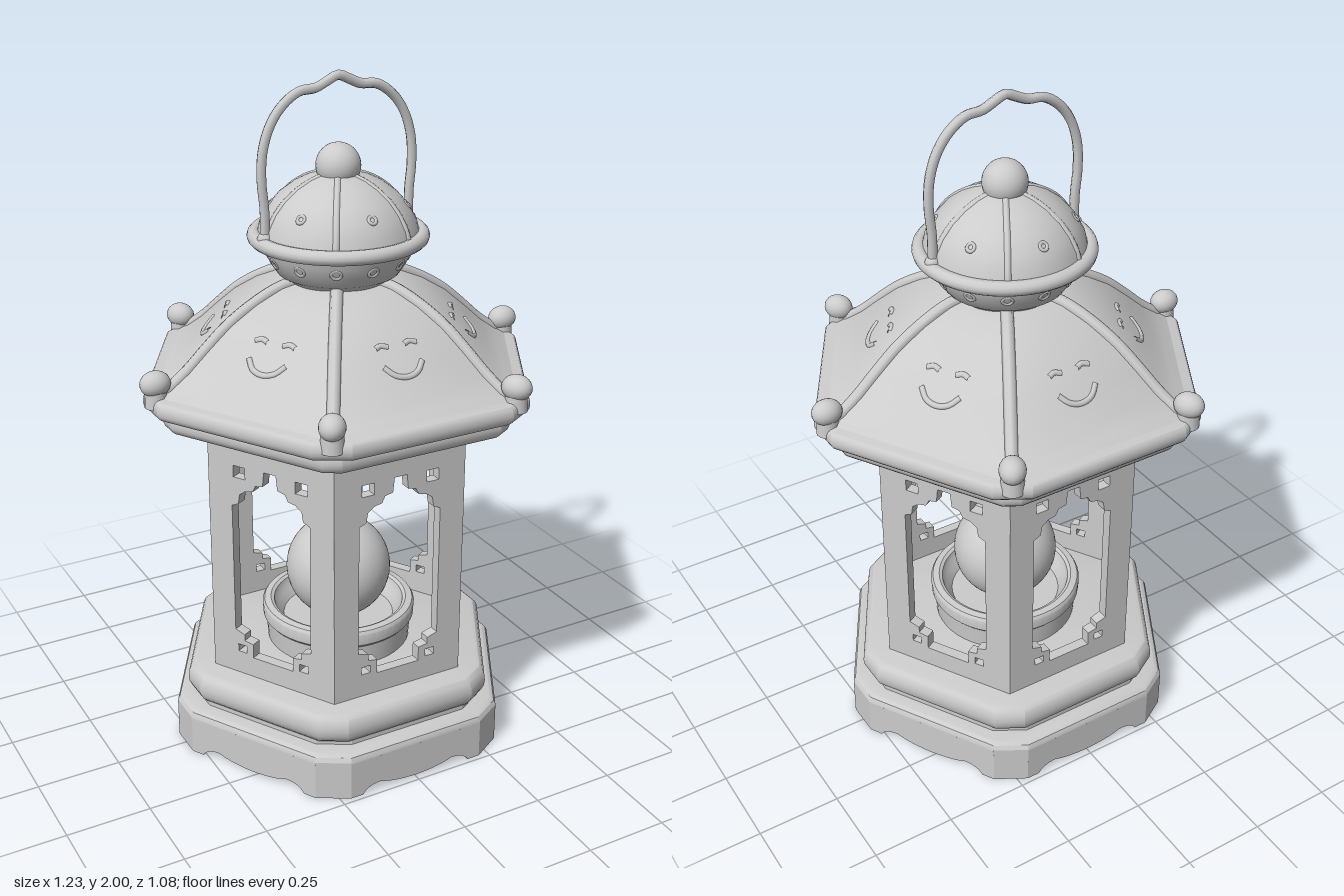
import * as THREE from 'three';
import { toCreasedNormals } from 'three/addons/utils/BufferGeometryUtils.js';

const COS30 = Math.cos(Math.PI / 6);
const mat = new THREE.MeshStandardMaterial({ color: 0xcccccc, side: THREE.DoubleSide });

function add(parent, name, geometry, x = 0, y = 0, z = 0) {
  const mesh = new THREE.Mesh(geometry, mat);
  mesh.name = name;
  mesh.position.set(x, y, z);
  parent.add(mesh);
  return mesh;
}

// Solid of stacked hexagons with clipped corners; profile is [corner radius, height], bottom to top
function hexLoft(profile, clip) {
  const pos = [], idx = [], n = 12;
  for (const [r, y] of profile) {
    const c = Math.min(clip, r * 0.1), t = c * Math.tan(Math.PI / 3);
    for (let k = 0; k < 6; k++) {
      const a = k * Math.PI / 3, ca = Math.cos(a), sa = Math.sin(a);
      for (const s of [-t, t]) pos.push((r - c) * ca - s * sa, y, (r - c) * sa + s * ca);
    }
  }
  for (let j = 0; j < profile.length - 1; j++) {
    for (let i = 0; i < n; i++) {
      const a = j * n + i, b = j * n + (i + 1) % n;
      idx.push(a, a + n, b, b, a + n, b + n);
    }
  }
  const g = new THREE.BufferGeometry();
  g.setAttribute('position', new THREE.Float32BufferAttribute(pos, 3));
  g.setIndex(idx);
  return toCreasedNormals(g, 0.45);
}

// Rounded band: points of a bulging edge between two heights
function bulge(r, y0, y1) {
  const h = (y1 - y0) / 2, pts = [];
  for (let i = 0; i <= 8; i++) {
    const a = -Math.PI / 2 + i * Math.PI / 8;
    pts.push([r - h * 0.7 * (1 - Math.cos(a)), (y0 + y1) / 2 + h * Math.sin(a)]);
  }
  return pts;
}

const lathe = pts =>
  toCreasedNormals(new THREE.LatheGeometry(pts.map(p => new THREE.Vector2(...p)), 48), 0.6);

const tube = (pts, r, seg = 24) =>
  new THREE.TubeGeometry(new THREE.CatmullRomCurve3(pts.map(p => new THREE.Vector3(...p))), seg, r, 8);

// Group turned so that its +z points along face k
function faceGroup(parent, name, k, offset = 0) {
  const g = new THREE.Group();
  g.name = name;
  g.rotation.y = k * Math.PI / 3 + offset;
  parent.add(g);
  return g;
}

// Polygon from its right half, mirrored over x = 0
const mirrored = half => [...half, ...half.slice().reverse().map(([x, y]) => [-x, y])]
  .map(p => new THREE.Vector2(...p));

const rectPath = (x, y, w, h) => new THREE.Path([
  [x - w, y - h], [x - w, y + h], [x + w, y + h], [x + w, y - h]].map(p => new THREE.Vector2(...p)));

// Plate standing on a hexagon face, with its outer surface at the given distance
function plate(parent, name, shape, distance, depth) {
  const g = new THREE.ExtrudeGeometry(shape, { depth, bevelEnabled: false, curveSegments: 8 });
  return add(parent, name, g, 0, 0, distance - depth);
}

function buildBase(root) {
  const base = new THREE.Group();
  base.name = 'base';
  root.add(base);
  add(base, 'plinth', hexLoft([[0, 0.025], [0.54, 0.025], [0.54, 0.115], [0.56, 0.115], [0.56, 0.122],
    [0.553, 0.135], [0.54, 0.142], [0.5, 0.145], [0.5, 0.16], [0, 0.16]], 0.03));
  add(base, 'upperStep', hexLoft([[0, 0.155], ...bulge(0.52, 0.155, 0.25), [0, 0.25]], 0.025));
  // skirt panels with a scalloped lower edge, and a foot at each clipped corner
  const skirt = new THREE.Shape();
  skirt.moveTo(-0.22, 0.117);
  skirt.lineTo(-0.22, 0);
  skirt.lineTo(-0.18, 0);
  skirt.quadraticCurveTo(-0.165, 0.027, -0.12, 0.027);
  skirt.quadraticCurveTo(-0.08, 0.01, 0, 0.008);
  skirt.quadraticCurveTo(0.08, 0.01, 0.12, 0.027);
  skirt.quadraticCurveTo(0.165, 0.027, 0.18, 0);
  skirt.lineTo(0.22, 0);
  skirt.lineTo(0.22, 0.117);
  for (let k = 0; k < 6; k++) {
    plate(faceGroup(base, 'skirtSide', k), 'skirtPanel', skirt, 0.485, 0.03);
    add(faceGroup(base, 'footCorner', k, Math.PI / 6), 'foot',
      new THREE.BoxGeometry(0.104, 0.117, 0.03), 0, 0.0585, 0.515);
  }
}

function buildBody(root) {
  const body = new THREE.Group();
  body.name = 'body';
  root.add(body);
  const wall = new THREE.Shape(mirrored([[0.212, 0.24], [0.212, 1.06]]));
  // window opening with stepped fretwork brackets in its corners
  wall.holes.push(new THREE.Path(mirrored([[0.07, 0.315], [0.07, 0.36], [0.1, 0.365], [0.1, 0.385],
    [0.132, 0.395], [0.132, 0.805], [0.11, 0.815], [0.105, 0.845], [0.085, 0.86], [0.06, 0.865],
    [0.05, 0.885], [0.025, 0.89], [0.02, 0.935]])));
  for (const s of [-1, 1]) {
    wall.holes.push(rectPath(s * 0.105, 0.915, 0.02, 0.018));
    wall.holes.push(rectPath(s * 0.108, 0.335, 0.015, 0.012));
  }
  for (let k = 0; k < 6; k++)
    plate(faceGroup(body, 'bodySide', k), 'windowWall', wall, 0.367, 0.032);

  // candle dish and globe
  add(body, 'dish', lathe([[0, 0.315], [0.17, 0.315], [0.185, 0.34], [0.195, 0.352], [0.2, 0.368],
    [0.21, 0.373], [0.23, 0.37], [0.236, 0.36], [0.234, 0.325], [0.225, 0.315], [0.22, 0.245]]));
  add(body, 'globe', new THREE.SphereGeometry(0.16, 40, 28), 0, 0.48, 0);
}

const roofProfile = [[0.59, 1.15], [0.545, 1.17], [0.49, 1.21], [0.43, 1.265],
  [0.36, 1.325], [0.28, 1.375], [0.2, 1.41], [0.12, 1.425]];

// Height of a roof panel at a distance from the axis, measured across the flat
function roofHeight(z) {
  const r = z / COS30;
  const i = Math.max(1, roofProfile.findIndex(p => p[0] <= r));
  const [r0, y0] = roofProfile[i - 1], [r1, y1] = roofProfile[i];
  return y0 + (y1 - y0) * (r - r0) / (r1 - r0);
}

function buildRoof(root) {
  const roof = new THREE.Group();
  roof.name = 'roof';
  root.add(roof);
  add(roof, 'lowerEave', hexLoft([[0, 1.04], ...bulge(0.56, 1.04, 1.105), [0, 1.105]], 0.015));
  add(roof, 'upperEave', hexLoft([[0, 1.1], ...bulge(0.622, 1.1, 1.155), [0, 1.155]], 0.03));
  add(roof, 'roofPanels', hexLoft([...roofProfile, [0, 1.425]], 0.012));
  // crescent and two flecks in low relief: [x, z] paths
  const motifs = [
    [[-0.06, 0.365], [-0.035, 0.385], [0, 0.392], [0.035, 0.385], [0.06, 0.365]],
    [[-0.065, 0.325], [-0.045, 0.32], [-0.025, 0.325]],
    [[0.025, 0.325], [0.045, 0.32], [0.065, 0.325]]];
  for (let k = 0; k < 6; k++) {
    const side = faceGroup(roof, 'roofSide', k);
    for (const path of motifs)
      add(side, 'reliefMark', tube(path.map(([x, z]) => [x, roofHeight(z) - 0.004, z]), 0.009, 12));
    const corner = faceGroup(roof, 'roofCorner', k, Math.PI / 6);
    add(corner, 'ridge', tube(roofProfile.map(([r, y]) => [0, y, r - 0.012]), 0.018));
    const ball = add(corner, 'ridgeBall', new THREE.SphereGeometry(0.037, 20, 14), 0, 1.192, 0.573);
    ball.scale.z = 1.2;
    add(corner, 'ridgeStub', new THREE.CylinderGeometry(0.03, 0.034, 0.06, 16), 0, 1.155, 0.572);
  }
}

// Small rims set around a round part, tilted to lie on its surface
function ringOfRims(parent, name, count, radius, y, size, tilt) {
  for (let i = 0; i < count; i++) {
    const g = faceGroup(parent, name + 'Place', 0, i * Math.PI * 2 / count);
    const rim = add(g, name, new THREE.TorusGeometry(size, 0.006, 6, 12), 0, y, radius);
    rim.rotation.x = tilt;
  }
}

function buildCupola(root) {
  const cupola = new THREE.Group();
  cupola.name = 'cupola';
  root.add(cupola);
  add(cupola, 'neck', lathe([[0.14, 1.4], [0.15, 1.42], [0.175, 1.435], [0.195, 1.465],
    [0.21, 1.495], [0.22, 1.535]]));
  ringOfRims(cupola, 'neckVent', 12, 0.2, 1.482, 0.014, 0.4);
  const rim = add(cupola, 'rim', new THREE.TorusGeometry(0.238, 0.021, 12, 64), 0, 1.54, 0);
  rim.rotation.x = Math.PI / 2;
  const dome = [[0.232, 1.54], [0.222, 1.58], [0.2, 1.62], [0.17, 1.655], [0.13, 1.685],
    [0.09, 1.705], [0.04, 1.72], [0, 1.725]];
  add(cupola, 'dome', lathe(dome));
  ringOfRims(cupola, 'domeVent', 6, 0.192, 1.626, 0.011, -0.75);
  for (let k = 0; k < 6; k++)
    add(faceGroup(cupola, 'domeCorner', k, Math.PI / 6), 'domeRib',
      tube(dome.slice(0, 7).map(([r, y]) => [0, y - 0.006, r - 0.004]), 0.011));
  add(cupola, 'knob', new THREE.SphereGeometry(0.064, 28, 20), 0, 1.737, 0);
}

function buildHandle(root) {
  const half = [[0.23, 1.55], [0.23, 1.64], [0.237, 1.72], [0.232, 1.8], [0.208, 1.87],
    [0.17, 1.92], [0.12, 1.952], [0.07, 1.957], [0.035, 1.972]];
  const path = [...half.map(([x, y]) => [-x, y, 0]), [0, 1.986, 0],
    ...half.slice().reverse().map(([x, y]) => [x, y, 0])];
  add(root, 'handle', tube(path, 0.014, 80));
  for (const s of [-1, 1])
    add(root, 'handleLug', new THREE.SphereGeometry(0.022, 14, 10), s * 0.23, 1.555, 0);
}

export function createModel() {
  const root = new THREE.Group();
  root.name = 'lantern';
  buildBase(root);
  buildBody(root);
  buildRoof(root);
  buildCupola(root);
  buildHandle(root);
  return root;
}
